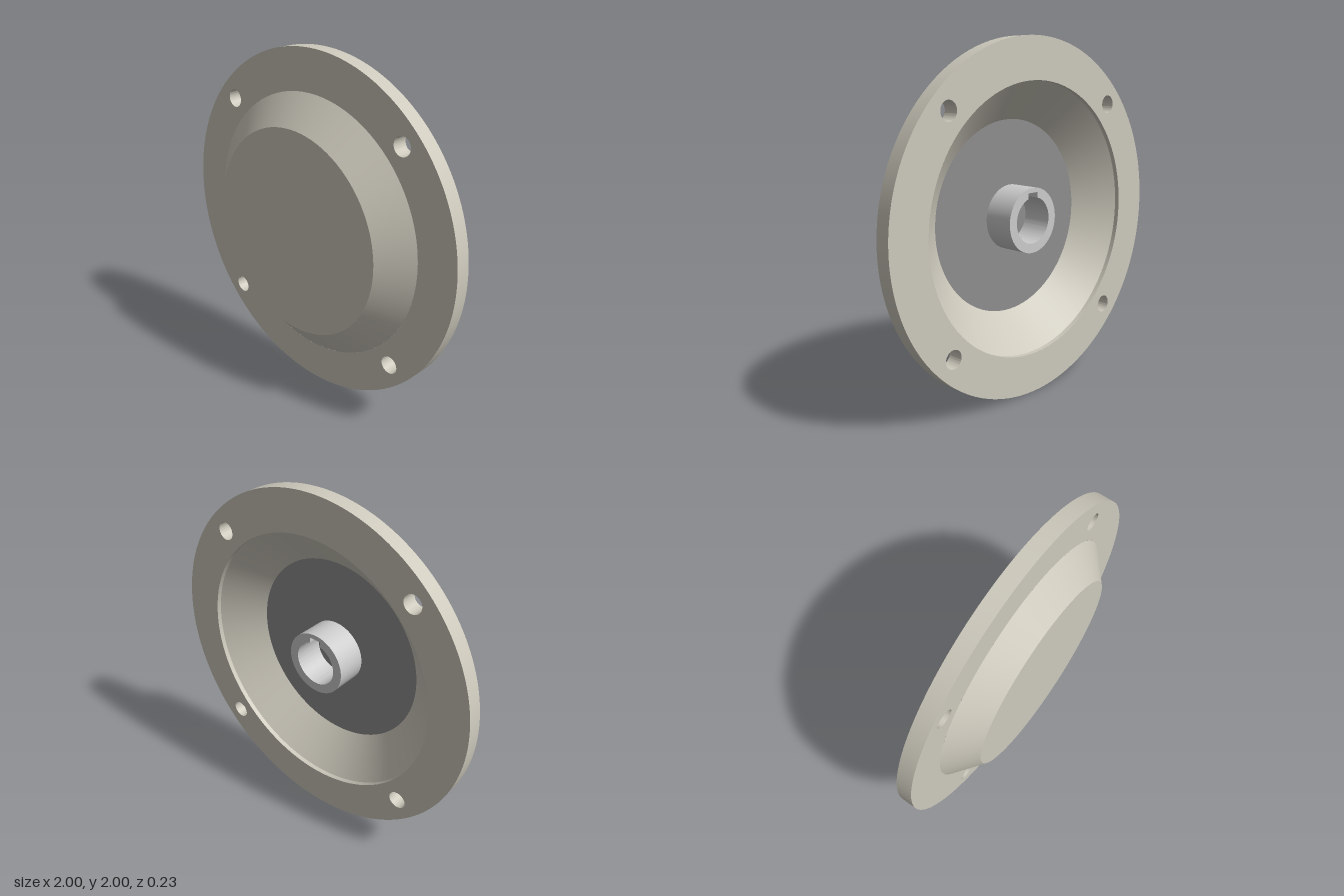
import * as THREE from 'three';
import { toCreasedNormals } from 'three/addons/utils/BufferGeometryUtils.js';

const SEG = 96;
const BACK = -0.115, STEP = -0.025, FRONT = 0.115; // flange back, flange front, dish front
const FLOOR = 0.095, HUB_END = -0.085;
const MOUTH = 0.767; // radius where dish meets flange

export function createModel() {
  const group = new THREE.Group();
  group.name = 'flangedCover';
  const coverMat = new THREE.MeshStandardMaterial({ color: 0xcdc9bc });
  const floorMat = new THREE.MeshStandardMaterial({ color: 0x8e8e8e });
  const hubMat = new THREE.MeshStandardMaterial({ color: 0xc0c0c0 });

  const add = (name, geometry, material) => {
    const mesh = new THREE.Mesh(toCreasedNormals(geometry, 0.5), material);
    mesh.name = name;
    mesh.position.y = 1;
    group.add(mesh);
  };
  const circle = (r, x = 0, y = 0) => new THREE.Path().absarc(x, y, r, 0, Math.PI * 2);
  const extrude = (shape, z0, z1, curveSegments) =>
    new THREE.ExtrudeGeometry(shape, { depth: z1 - z0, bevelEnabled: false, curveSegments })
      .translate(0, 0, z0);
  // Profile points are [radius, z], turned about the z axis
  const turn = (points) =>
    new THREE.LatheGeometry(points.map(([r, z]) => new THREE.Vector2(r, z)), SEG)
      .rotateX(Math.PI / 2);

  // Flat ring with four bolt holes
  const ring = new THREE.Shape().absarc(0, 0, 1, 0, Math.PI * 2);
  ring.holes.push(circle(MOUTH));
  for (const sx of [-1, 1]) {
    for (const sy of [-1, 1]) ring.holes.push(circle(0.052, sx * 0.625, sy * 0.625));
  }
  add('flange', extrude(ring, BACK, STEP, SEG), coverMat);

  // Raised dish: tapered outside with flat front, tapered inside wall
  add('dishOuter', turn([[MOUTH, STEP], [0.6, FRONT], [0, FRONT]]), coverMat);
  add('dishInnerWall', turn([[0.554, FLOOR], [MOUTH, -0.088]]), coverMat);
  add('dishFloor', turn([[0, FLOOR], [0.554, FLOOR]]), floorMat);

  // Hub tube with a keyway at the top of the bore
  const bore = 0.13, half = 0.036, keyTop = 0.157;
  const a = Math.acos(half / bore);
  const hub = new THREE.Shape().absarc(0, 0, 0.185, 0, Math.PI * 2);
  const keyedBore = new THREE.Path();
  keyedBore.absarc(0, 0, bore, Math.PI - a, Math.PI * 2 + a);
  keyedBore.lineTo(half, keyTop);
  keyedBore.lineTo(-half, keyTop);
  keyedBore.closePath();
  hub.holes.push(keyedBore);
  add('hub', extrude(hub, HUB_END, FLOOR + 0.005, 48), hubMat);

  return group;
}
